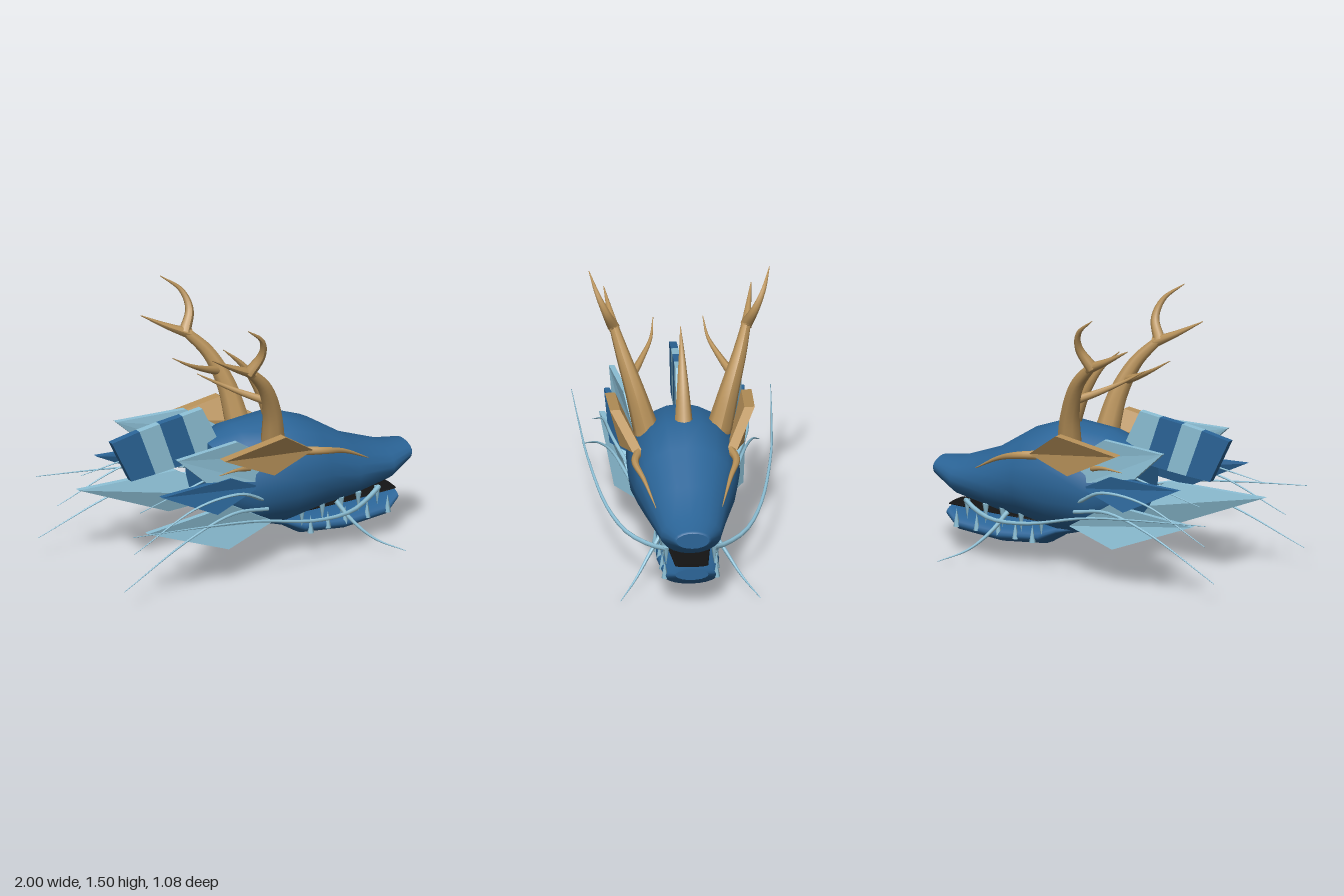
import * as THREE from 'three';

const mat = (name, color, side = THREE.FrontSide) => {
  const m = new THREE.MeshStandardMaterial({ color, side });
  m.name = name;
  return m;
};

export function createModel() {
  const blue = mat('deep blue', 0x2b6598);
  const pale = mat('pale blue', 0x8dc0d6);
  const gold = mat('horn gold', 0xb8925a);
  const black = mat('mouth black', 0x141414);
  const model = new THREE.Group();

  const add = (name, geometry, material, parent = model) => {
    const mesh = new THREE.Mesh(geometry, material);
    mesh.name = name;
    parent.add(mesh);
    return mesh;
  };

  // Elliptical sections [x, top, bottom, halfWidth] joined along x, capped at both ends
  const loft = (sections, sides = 20) => {
    const pos = [], idx = [];
    const ring = ([x, top, bottom, w]) => {
      for (let j = 0; j < sides; j++) {
        const a = (j / sides) * Math.PI * 2;
        pos.push(x, (top + bottom) / 2 + Math.cos(a) * (top - bottom) / 2, Math.sin(a) * w);
      }
    };
    sections.forEach(ring);
    for (let i = 0; i < sections.length - 1; i++) {
      for (let j = 0; j < sides; j++) {
        const k = (j + 1) % sides;
        const a = i * sides + j, d = i * sides + k;
        idx.push(a, d, d + sides, a, d + sides, a + sides);
      }
    }
    [sections[0], sections[sections.length - 1]].forEach((s, end) => {
      const base = pos.length / 3;
      ring(s);
      pos.push(s[0], (s[1] + s[2]) / 2, 0);
      for (let j = 0; j < sides; j++) {
        const p = base + j, q = base + (j + 1) % sides;
        idx.push(base + sides, end ? p : q, end ? q : p);
      }
    });
    const g = new THREE.BufferGeometry();
    g.setAttribute('position', new THREE.Float32BufferAttribute(pos, 3));
    g.setIndex(idx);
    g.computeVertexNormals();
    return g;
  };

  // Round strand through points, tapering from r0 to r1
  const strand = (points, r0, r1, sides = 8, steps = 20) => {
    const curve = new THREE.CatmullRomCurve3(points.map(p => new THREE.Vector3(...p)));
    const g = new THREE.TubeGeometry(curve, steps, 1, sides);
    const pos = g.attributes.position, v = new THREE.Vector3();
    for (let i = 0; i <= steps; i++) {
      const c = curve.getPointAt(i / steps);
      const r = THREE.MathUtils.lerp(r0, r1, i / steps);
      for (let j = 0; j <= sides; j++) {
        const n = i * (sides + 1) + j;
        v.fromBufferAttribute(pos, n).sub(c).multiplyScalar(r).add(c);
        pos.setXYZ(n, v.x, v.y, v.z);
      }
    }
    g.computeVertexNormals();
    return g;
  };

  // Flat-sided plate; corners run counter-clockwise seen from +z
  const plate = (corners, half) => {
    const n = corners.length, pos = [];
    const f = i => [corners[i % n][0], corners[i % n][1], corners[i % n][2] + half];
    const b = i => [corners[i % n][0], corners[i % n][1], corners[i % n][2] - half];
    for (let i = 1; i < n - 1; i++) {
      pos.push(...f(0), ...f(i), ...f(i + 1), ...b(0), ...b(i + 1), ...b(i));
    }
    for (let i = 0; i < n; i++) {
      pos.push(...f(i), ...b(i), ...b(i + 1), ...f(i), ...b(i + 1), ...f(i + 1));
    }
    const g = new THREE.BufferGeometry();
    g.setAttribute('position', new THREE.Float32BufferAttribute(pos, 3));
    g.computeVertexNormals();
    return g;
  };

  // Skull, lower jaw and dark palate
  add('head', loft([
    [-0.23, 0.70, 0.30, 0.23], [-0.07, 0.77, 0.19, 0.30], [0.2, 0.80, 0.18, 0.305],
    [0.4, 0.73, 0.225, 0.275], [0.62, 0.595, 0.25, 0.21], [0.85, 0.515, 0.305, 0.165],
    [0.99, 0.5, 0.39, 0.105], [1.0, 0.49, 0.40, 0.09],
  ]), blue);
  add('lowerJaw', loft([
    [0.08, 0.25, 0.19, 0.1], [0.2, 0.235, 0.16, 0.14], [0.3, 0.215, 0.1, 0.165],
    [0.55, 0.195, 0.083, 0.17], [0.82, 0.21, 0.11, 0.145], [0.915, 0.237, 0.175, 0.09],
  ]), blue);
  add('palate', loft([
    [0.22, 0.247, 0.225, 0.13], [0.6, 0.257, 0.235, 0.12], [0.9, 0.265, 0.245, 0.09],
  ]), black);

  // Central horn
  add('centreHorn', strand([[0.19, 0.74, 0], [0.1, 0.95, 0], [0, 1.1, 0], [-0.12, 1.21, 0]],
    0.052, 0.002), gold);

  // Striped neck crest
  const topEdge = [[-0.82, 0.8], [-0.65, 0.838], [-0.525, 0.86], [-0.385, 0.88], [-0.26, 0.9]];
  const lowEdge = [[-0.7, 0.56], [-0.55, 0.575], [-0.43, 0.59], [-0.29, 0.61], [-0.13, 0.64]];
  for (let i = 0; i < 4; i++) {
    const corners = [lowEdge[i], lowEdge[i + 1], topEdge[i + 1], topEdge[i]].map(p => [...p, 0]);
    add('crestBand', plate(corners, 0.02), i % 2 ? pale : blue);
  }

  for (const s of [1, -1]) {
    const side = new THREE.Group();
    side.name = s > 0 ? 'leftSide' : 'rightSide';
    model.add(side);
    const m = points => points.map(([x, y, z]) => [x, y, z * s]);
    const tube = (name, points, r0, r1, material) =>
      add(name, strand(m(points), r0, r1), material, side);
    const fin = (name, points, half, material) =>
      add(name, plate(m(points), half), material, side);

    // Branching antler
    tube('antlerBeam', [[0.08, 0.68, 0.195], [0.04, 0.9, 0.255], [-0.04, 1.08, 0.315],
      [-0.17, 1.22, 0.365]], 0.072, 0.024, gold);
    tube('antlerUpperTine', [[-0.16, 1.2, 0.36], [-0.105, 1.31, 0.405], [-0.13, 1.41, 0.45],
      [-0.24, 1.5, 0.49]], 0.034, 0.002, gold);
    tube('antlerRearTine', [[-0.13, 1.19, 0.355], [-0.26, 1.25, 0.375], [-0.41, 1.33, 0.4]],
      0.03, 0.002, gold);
    tube('antlerInnerTine', [[0.0, 0.98, 0.27], [-0.12, 1.03, 0.21], [-0.24, 1.09, 0.155],
      [-0.36, 1.16, 0.135]], 0.025, 0.002, gold);

    // Brow plate and the slim horns around it
    fin('browPlate', [[-0.33, 0.73, 0.37], [0.01, 0.57, 0.31], [0.28, 0.65, 0.255],
      [0.05, 0.8, 0.365]], 0.028, gold);
    tube('browHorn', [[0.25, 0.64, 0.25], [0.36, 0.63, 0.275], [0.5, 0.59, 0.235],
      [0.68, 0.5, 0.18]], 0.026, 0.002, gold);
    tube('earHorn', [[-0.12, 0.62, 0.29], [-0.22, 0.64, 0.33], [-0.34, 0.635, 0.35]],
      0.016, 0.002, gold);

    // Three layered cheek fins
    fin('upperCheekFin', [[-0.6, 0.77, 0.345], [-0.42, 0.61, 0.335], [-0.07, 0.53, 0.27],
      [0.0, 0.66, 0.25], [-0.2, 0.79, 0.29]], 0.015, pale);
    fin('middleCheekFin', [[-0.71, 0.585, 0.365], [-0.36, 0.42, 0.355], [-0.05, 0.5, 0.27],
      [-0.25, 0.595, 0.31]], 0.016, blue);
    fin('lowerCheekFin', [[-0.81, 0.4, 0.385], [-0.28, 0.2, 0.335], [0.05, 0.27, 0.235],
      [-0.25, 0.44, 0.31]], 0.016, pale);

    // Whiskers
    tube('longWhisker', [[0.77, 0.3, 0.13], [0.66, 0.27, 0.2], [0.48, 0.265, 0.32],
      [0.2, 0.3, 0.42], [-0.2, 0.395, 0.495], [-0.55, 0.43, 0.52], [-0.98, 0.457, 0.54]],
      0.014, 0.002, pale);
    tube('chinWhisker', [[0.5, 0.27, 0.14], [0.56, 0.17, 0.21], [0.66, 0.07, 0.29],
      [0.8, 0.005, 0.38]], 0.014, 0.002, pale);
    tube('lowCheekWhisker', [[0.0, 0.36, 0.28], [-0.25, 0.4, 0.35], [-0.55, 0.33, 0.41],
      [-1, 0.125, 0.48]], 0.011, 0.002, pale);
    tube('midCheekWhisker', [[-0.03, 0.42, 0.28], [-0.22, 0.51, 0.36], [-0.5, 0.49, 0.39],
      [-0.91, 0.31, 0.43]], 0.011, 0.002, pale);
    tube('highCheekWhisker', [[-0.08, 0.58, 0.25], [-0.3, 0.61, 0.28], [-0.55, 0.56, 0.3],
      [-0.82, 0.5, 0.33]], 0.01, 0.002, pale);

    // Teeth: upper ones point down, lower ones point up
    const tooth = (name, x, y, z, h, down) => {
      const t = add(name, new THREE.ConeGeometry(0.018, h, 6), pale, side);
      t.position.set(x, y, z * s);
      if (down) t.rotation.x = Math.PI;
    };
    [0.28, 0.41, 0.53, 0.64, 0.76].forEach((x, i) =>
      tooth('upperTooth', x, 0.215 + i * 0.009, 0.155 - i * 0.006, 0.11, true));
    [0.33, 0.44, 0.55, 0.69, 0.82].forEach((x, i) =>
      tooth('lowerTooth', x, 0.175 + i * 0.006, 0.165 - i * 0.006, 0.1, false));
  }

  return model;
}
